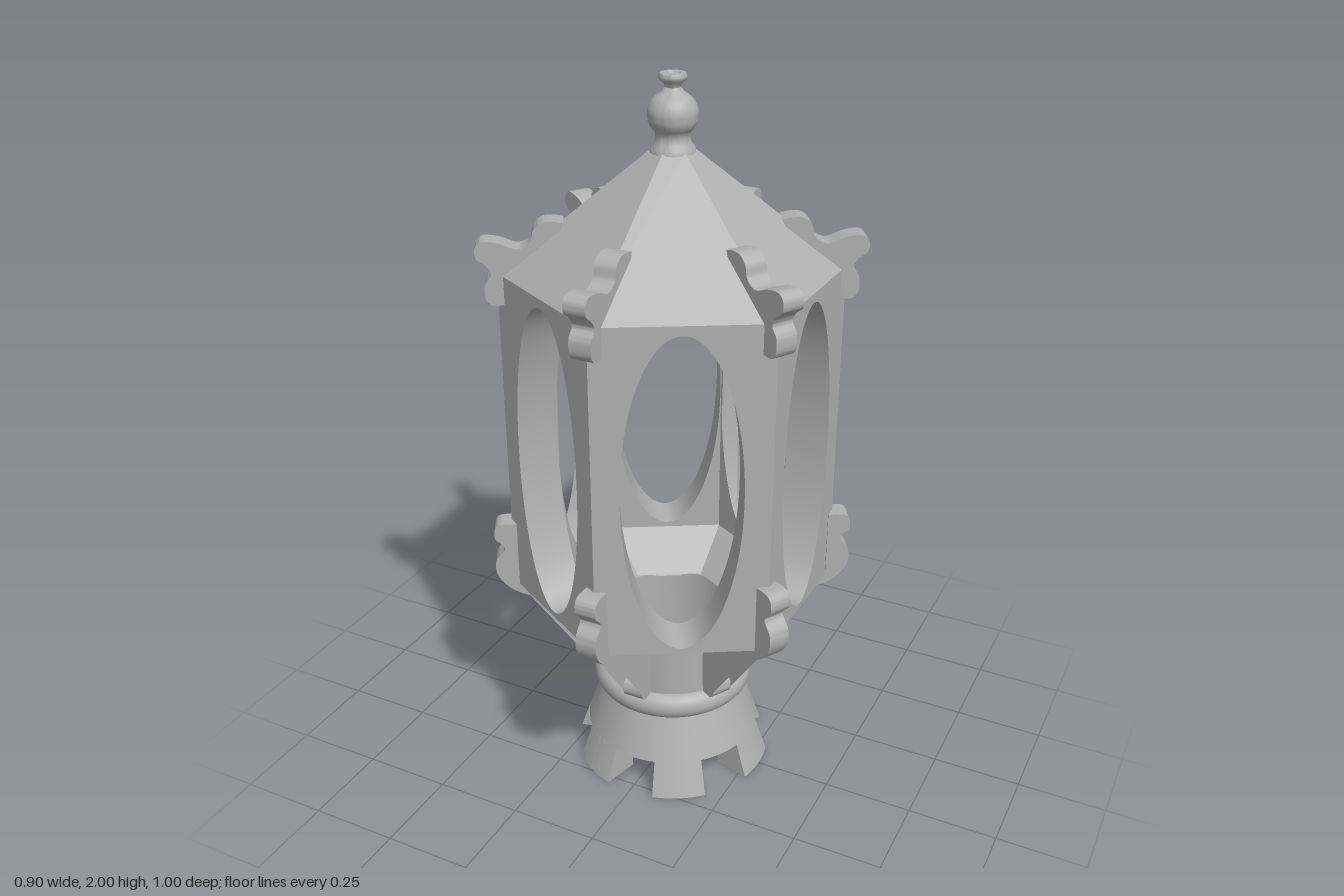
import * as THREE from 'three';
import { toCreasedNormals } from 'three/addons/utils/BufferGeometryUtils.js';

const metal = new THREE.MeshStandardMaterial({ color: 0xb0b0b0, side: THREE.DoubleSide });
metal.name = 'grey metal';

const R = 0.45;                       // corner radius of the hexagonal body
const APOTHEM = R * Math.cos(Math.PI / 6);
const WALL = 0.118;
const BORE = 0.18;

export function createModel() {
  const model = new THREE.Group();
  model.name = 'lantern';

  function add(name, geometry, parent = model) {
    const mesh = new THREE.Mesh(geometry, metal);
    mesh.name = name;
    parent.add(mesh);
    return mesh;
  }

  function lathe(name, points, crease = 0.6) {
    const profile = points.map(([r, y]) => new THREE.Vector2(r, y));
    return add(name, toCreasedNormals(new THREE.LatheGeometry(profile, 64), crease));
  }

  // Open six-sided frustum with corners on the z axis
  function hexFrustum(name, rTop, rBottom, yBottom, yTop) {
    const g = new THREE.CylinderGeometry(rTop, rBottom, yTop - yBottom, 6, 1, true).toNonIndexed();
    g.computeVertexNormals();
    g.translate(0, (yBottom + yTop) / 2, 0);
    return add(name, g);
  }

  // Foot: flared skirt with six teeth
  const flare = y => 0.285 - 0.08 * y / 0.235;
  lathe('skirt', [[BORE, 0.1], [flare(0.1), 0.1], [flare(0.235), 0.235], [BORE, 0.235], [BORE, 0.1]]);

  const half = THREE.MathUtils.degToRad(15.5);
  const sector = new THREE.Shape();
  sector.absarc(0, 0, 0.28, -half, half, false);
  sector.absarc(0, 0, BORE, half, -half, true);
  let tooth = new THREE.ExtrudeGeometry(sector, { depth: 0.1, bevelEnabled: false, curveSegments: 10 });
  tooth.rotateX(-Math.PI / 2);
  const tp = tooth.attributes.position;
  for (let i = 0; i < tp.count; i++) {
    const r = Math.hypot(tp.getX(i), tp.getZ(i));
    if (r < 0.25) continue;
    const s = flare(tp.getY(i)) / r;
    tp.setX(i, tp.getX(i) * s);
    tp.setZ(i, tp.getZ(i) * s);
  }
  tooth = toCreasedNormals(tooth, 0.5);
  for (let k = 0; k < 6; k++) add('footTooth', tooth).rotation.y = k * Math.PI / 3;

  // Rounded collar and hollow neck
  const collar = [[BORE, 0.228]];
  for (let i = 0; i <= 12; i++) {
    const a = -Math.PI / 2 + Math.PI * i / 12;
    collar.push([0.195 + 0.035 * Math.cos(a), 0.267 + 0.039 * Math.sin(a)]);
  }
  collar.push([BORE, 0.306]);
  lathe('collar', collar);
  lathe('neck', [[0.2, 0.29], [0.2, 0.475], [BORE, 0.475], [BORE, 0.235]]);

  // Sloping underside of the body and the inner floor
  hexFrustum('underside', R, 0.2, 0.465, 0.58);
  hexFrustum('innerFloor', 0.32, 0.19, 0.475, 0.582);

  // Six thick walls with oval windows, mitred at the corners
  const w = R / 2;
  const panel = new THREE.Shape();
  panel.moveTo(-w, 0.58);
  panel.lineTo(w, 0.58);
  panel.lineTo(w, 1.5);
  panel.lineTo(-w, 1.5);
  panel.closePath();
  const oval = new THREE.Path();
  oval.absellipse(0, 1.035, 0.155, 0.44, 0, Math.PI * 2, true);
  panel.holes.push(oval);
  let wall = new THREE.ExtrudeGeometry(panel, { depth: WALL, bevelEnabled: false, curveSegments: 48 });
  wall.translate(0, 0, APOTHEM - WALL);
  const wp = wall.attributes.position;
  const innerHalf = (APOTHEM - WALL) * Math.tan(Math.PI / 6);
  for (let i = 0; i < wp.count; i++) {
    const x = wp.getX(i);
    if (Math.abs(x) > 0.2 && wp.getZ(i) < APOTHEM - WALL / 2) wp.setX(i, Math.sign(x) * innerHalf);
  }
  wall = toCreasedNormals(wall, 0.5);
  for (let k = 0; k < 6; k++) add('windowWall', wall).rotation.y = Math.PI / 6 + k * Math.PI / 3;

  // Roof and turned finial
  hexFrustum('roof', 0.055, R, 1.5, 1.815);
  const finial = [[0, 1.8], [0.058, 1.808], [0.056, 1.82], [0.046, 1.832], [0.044, 1.845]];
  for (let i = 0; i <= 12; i++) {
    const a = -0.8 + 1.9 * i / 12;
    finial.push([0.064 * Math.cos(a), 1.9 + 0.06 * Math.sin(a)]);
  }
  finial.push([0.02, 1.966], [0.022, 1.975], [0.034, 1.984], [0.036, 1.992], [0.032, 2.0], [0.02, 2.0], [0.016, 1.994], [0, 1.994]);
  lathe('finial', finial, 0.8);

  // Scrolled brackets: curved outer edge, straight inner edge buried in the body
  function bracketGeometry(outer, inner) {
    const s = new THREE.Shape();
    s.moveTo(...outer[0]);
    s.splineThru(outer.slice(1).map(p => new THREE.Vector2(...p)));
    inner.forEach(p => s.lineTo(...p));
    s.closePath();
    const g = new THREE.ExtrudeGeometry(s, { depth: 0.06, bevelEnabled: false, curveSegments: 5 });
    g.translate(0, 0, -0.03);
    return toCreasedNormals(g, 0.7);
  }
  const roofBracket = bracketGeometry(
    [[0.43, 1.425], [0.46, 1.422], [0.479, 1.44], [0.479, 1.48], [0.462, 1.505], [0.475, 1.53],
      [0.498, 1.548], [0.5, 1.575], [0.482, 1.592], [0.44, 1.588], [0.395, 1.572], [0.362, 1.588],
      [0.352, 1.62], [0.33, 1.64], [0.3, 1.642], [0.275, 1.637]],
    [[0.29, 1.6], [0.42, 1.49]]);
  const baseBracket = bracketGeometry(
    [[0.2, 0.305], [0.235, 0.305], [0.25, 0.325], [0.245, 0.352], [0.222, 0.368], [0.245, 0.42],
      [0.3, 0.485], [0.38, 0.53], [0.455, 0.565], [0.494, 0.612], [0.497, 0.66], [0.472, 0.695],
      [0.478, 0.712], [0.496, 0.73], [0.496, 0.76], [0.478, 0.776], [0.435, 0.776]],
    [[0.435, 0.58], [0.195, 0.46]]);
  for (let k = 0; k < 6; k++) {
    const corner = new THREE.Group();
    corner.name = 'cornerBrackets';
    corner.rotation.y = Math.PI / 6 + k * Math.PI / 3;
    add('roofBracket', roofBracket, corner);
    add('baseBracket', baseBracket, corner);
    model.add(corner);
  }
  return model;
}
